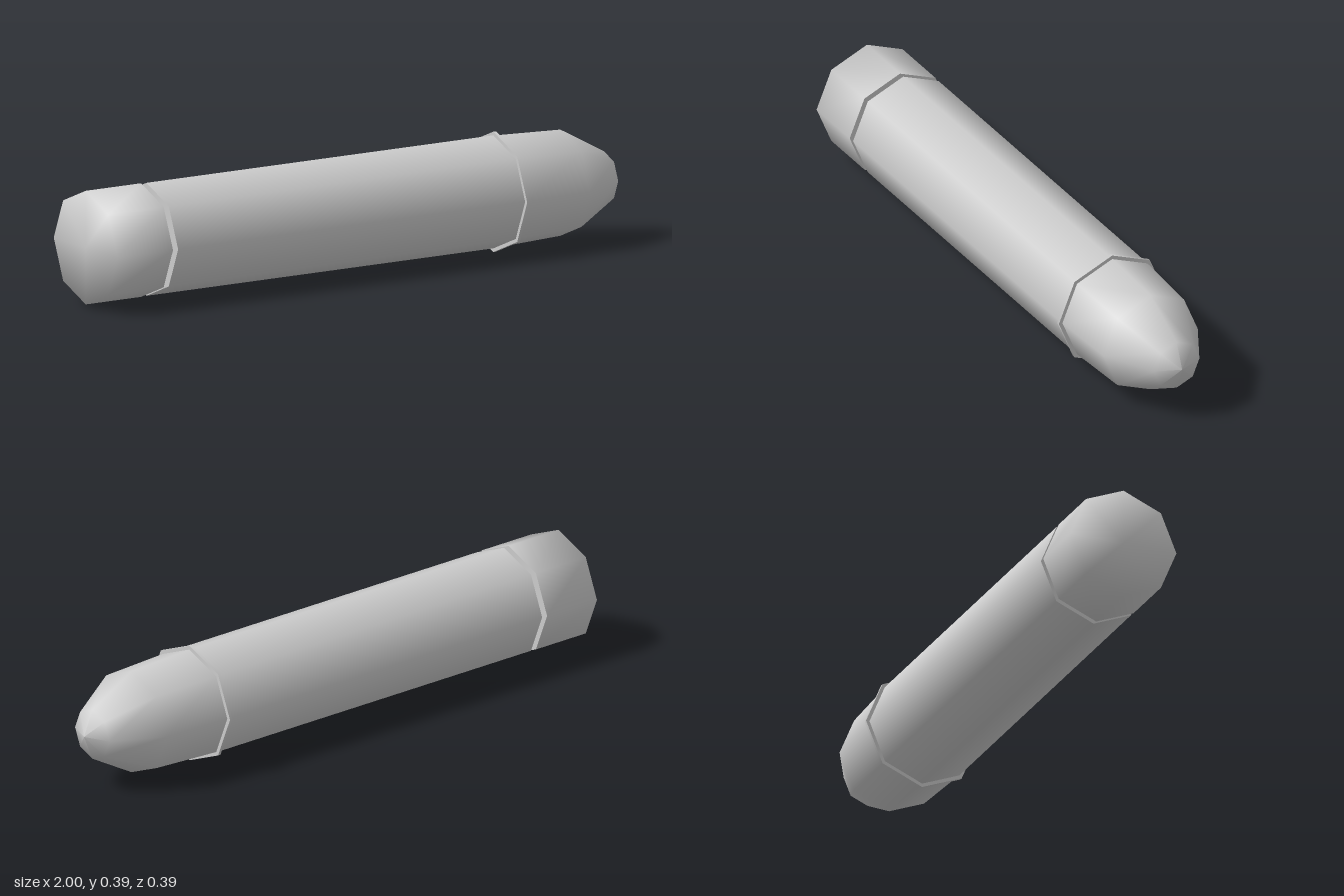
import * as THREE from 'three';

const SIDES = 8;
const AXIS_Y = 0.195;

// Eight-sided solid turned about the x axis; profile runs from -x to +x as [x, radius]
function turned(name, profile, material) {
  const points = profile.map(([x, r]) => new THREE.Vector2(r, x));
  const geometry = new THREE.LatheGeometry(points, SIDES);
  geometry.rotateZ(-Math.PI / 2);
  const mesh = new THREE.Mesh(geometry, material);
  mesh.name = name;
  mesh.position.y = AXIS_Y;
  return mesh;
}

export function createModel() {
  const group = new THREE.Group();
  group.name = 'cartridge';
  const grey = new THREE.MeshStandardMaterial({ color: 0xcccccc, side: THREE.DoubleSide });

  // Base, with its closed rear softly shaded into the side
  group.add(turned('base', [[-1, 0], [-1, 0.184], [-0.79, 0.184]], grey));
  group.add(turned('baseFrontFace', [[-0.79, 0.184], [-0.79, 0.133]], grey));

  // Narrow groove between base and case
  group.add(turned('extractorGroove', [[-0.79, 0.133], [-0.77, 0.133]], grey));

  // Long straight case
  group.add(turned('caseRearFace', [[-0.77, 0.133], [-0.77, 0.183]], grey));
  group.add(turned('caseBody', [[-0.77, 0.183], [0.55, 0.183]], grey));

  // Thin raised rim at the case mouth
  group.add(turned('mouthRimRear', [[0.546, 0.183], [0.546, 0.195]], grey));
  group.add(turned('mouthRim', [[0.546, 0.195], [0.556, 0.195]], grey));
  group.add(turned('mouthRimFront', [[0.556, 0.195], [0.556, 0.181]], grey));

  // Tapered nose
  group.add(turned('nose', [[0.556, 0.182], [0.8, 0.172], [0.965, 0.083], [1, 0]], grey));

  return group;
}
